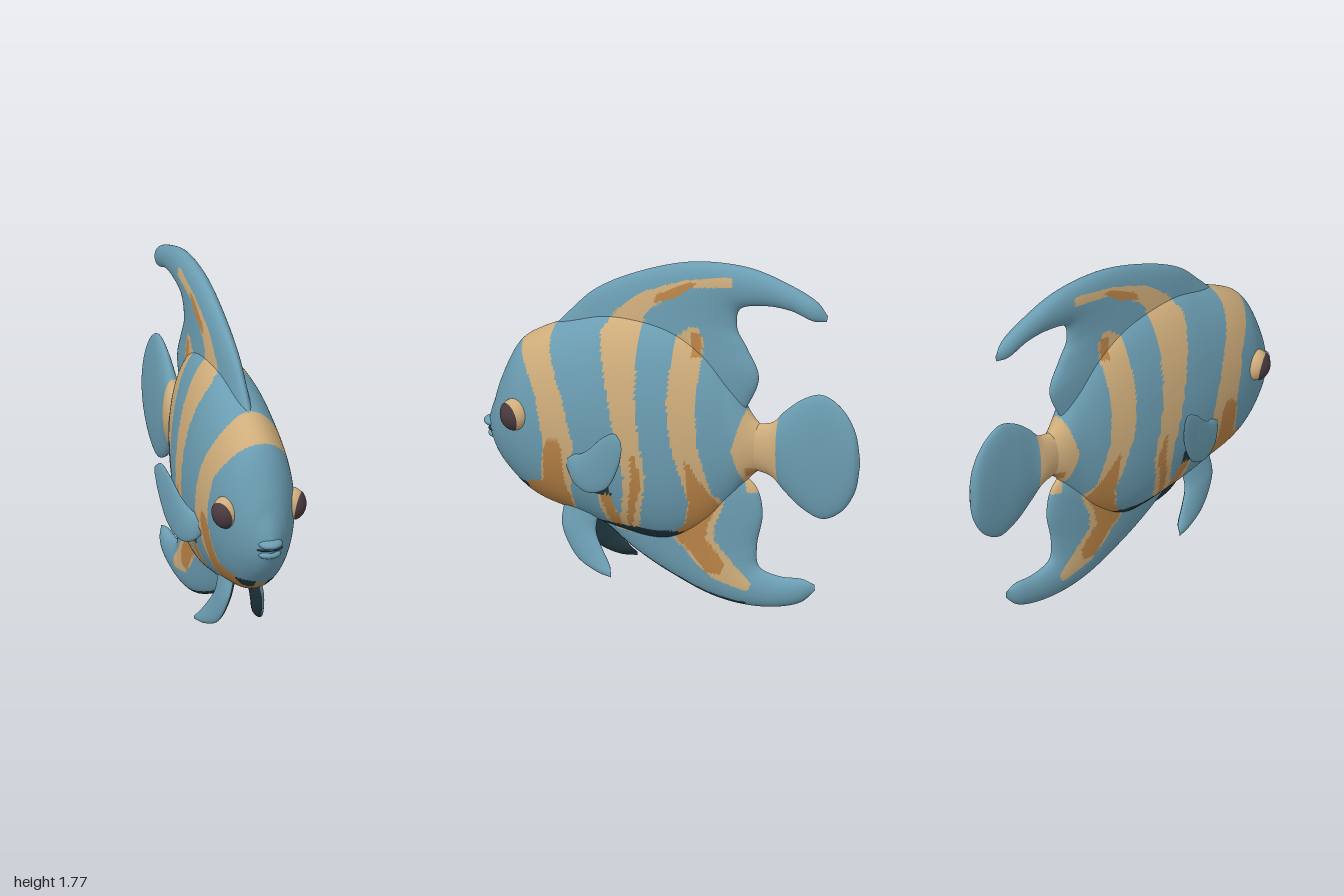
import * as THREE from 'three';

const mat = (name, color) => {
  const m = new THREE.MeshStandardMaterial({ color });
  m.name = name;
  return m;
};

// Flank bands, each from top to bottom as rows of [y, front z, back z]
const cheekBand = [[1.36, .74, .62], [1.24, .79, .6], [1.02, .65, .5], [.78, .6, .435], [.56, .63, .465],
  [.48, .8, .47], [.3, .87, .47]];
const middleBand = [[1.72, -.3, -.34], [1.675, -.095, -.34], [1.64, 0, -.12], [1.575, .15, 0], [1.475, .27, .12],
  [1.37, .335, .13], [1.02, .25, .115], [.65, .18, .065], [.485, .2, .1], [.31, .27, .14]];
const forkBand = [[.55, .33, .26], [.42, .315, .23], [.31, .28, .2]];
const rearBand = [[1.44, -.12, -.16], [1.38, -.05, -.19], [1.07, -.04, -.18], [.86, -.06, -.19], [.59, -.13, -.25],
  [.54, -.135, -.3], [.4, -.1, -.245], [.33, -.02, -.25], [.215, -.135, -.35], [.13, -.23, -.435], [.09, -.4, -.42]];
const tailBand = [[1.06, -.41, -.57], [.83, -.35, -.57], [.6, -.41, -.57]];
const TAN = [cheekBand, middleBand, forkBand, rearBand, tailBand];

const cheekMark = [[.8, .575, .52], [.74, .6, .5], [.56, .615, .5], [.485, .85, .475], [.3, .87, .5]];
const topMark = [[1.665, -.11, -.15], [1.58, .06, -.045], [1.535, .08, .07]];
const middleMark = [[.78, .14, .125], [.645, .14, .085], [.35, .195, .17]];
const forkMark = [[.55, .315, .26], [.35, .28, .215]];
const spotMark = [[1.41, -.13, -.18], [1.29, -.135, -.185]];
const rearMark = [[.765, -.13, -.14], [.53, -.14, -.275], [.42, -.11, -.215], [.34, -.03, -.2], [.22, -.15, -.3],
  [.155, -.2, -.275]];
const tailMark = [[.74, -.41, -.44], [.69, -.41, -.5]];
const ORANGE = [cheekMark, topMark, middleMark, forkMark, spotMark, rearMark, tailMark];

const chinPatch = [[.515, .86, .72], [.46, .86, .72]];
const flankPatch = [[.62, .39, .27], [.54, .33, .25]];
const DARK = [chinPatch, flankPatch];

const inBand = (band, z, y) => {
  for (let i = 1; i < band.length; i++) {
    const [y0, f0, b0] = band[i - 1], [y1, f1, b1] = band[i];
    if (y > y0 || y < y1) continue;
    const t = (y0 - y) / (y0 - y1);
    return z < f0 + (f1 - f0) * t && z > b0 + (b1 - b0) * t;
  }
  return false;
};

// Colour rules: 0 blue, 1 tan, 2 orange, 3 dark
const stripes = (c, n) => {
  const within = (list) => list.some((band) => inBand(band, c.z, c.y));
  if (Math.abs(c.x) > .03 && within(DARK)) return 3;
  if (n.y < -.5 && c.y < .36 && c.z < .5 && c.z > -.4) return 3;
  return within(ORANGE) ? 2 : within(TAN) ? 1 : 0;
};

// Loft of elliptical sections; each row is [edgeA z, edgeA y, edgeB z, edgeB y, half thickness, x]
function loft(rows, steps, around, rule) {
  const a = new THREE.CatmullRomCurve3(rows.map((r) => new THREE.Vector3(r[4], r[1], r[0])));
  const b = new THREE.CatmullRomCurve3(rows.map((r) => new THREE.Vector3(r[5], r[3], r[2])));
  const pos = [], tris = [];
  for (let i = 0; i <= steps; i++) {
    const p = a.getPoint(i / steps), q = b.getPoint(i / steps);
    for (let j = 0; j < around; j++) {
      const t = (j / around) * Math.PI * 2, c = Math.cos(t) / 2;
      pos.push(q.x + Math.max(p.x, .001) * Math.sin(t),
        (p.y + q.y) / 2 + (p.y - q.y) * c, (p.z + q.z) / 2 + (p.z - q.z) * c);
      if (i === steps) continue;
      const k = i * around + j, l = i * around + ((j + 1) % around);
      tris.push([k, l, k + around], [l, l + around, k + around]);
    }
  }
  const at = (i) => new THREE.Vector3().fromArray(pos, i * 3);
  // Turn faces outward using the enclosed volume
  let volume = 0;
  for (const [i, j, k] of tris) volume += at(i).dot(at(j).cross(at(k)));
  if (volume < 0) tris.forEach((t) => t.reverse());

  // Sort triangles into one group per colour
  const bins = [[], [], [], []];
  for (const t of tris) {
    const [u, v, w] = t.map(at);
    const n = v.clone().sub(u).cross(w.clone().sub(u)).normalize();
    bins[rule(u.add(v).add(w).divideScalar(3), n)].push(...t);
  }
  const g = new THREE.BufferGeometry();
  g.setAttribute('position', new THREE.Float32BufferAttribute(pos, 3));
  g.setIndex(bins.flat());
  let start = 0;
  bins.forEach((bin, i) => {
    if (bin.length) g.addGroup(start, bin.length, i);
    start += bin.length;
  });
  g.computeVertexNormals();
  return g;
}

// Fin rows: thickness thins from w0 to w1 and rounds off at the tip; x follows a given rule
const fin = (edges, w0, w1, xAt = () => 0) => edges.map((e, i) => {
  const t = i / (edges.length - 1);
  return [...e, (w0 + (w1 - w0) * t) * Math.sqrt(1 - t ** 8), xAt(t)];
});

// Body sections: top z, y, bottom z, y, half width
const BODY = [
  [.975, .76, .975, .74, .001], [.955, .84, .94, .67, .05], [.93, .91, .915, .62, .08], [.9, 1.01, .87, .56, .115],
  [.8, 1.215, .75, .455, .18], [.7, 1.29, .66, .41, .205], [.52, 1.37, .5, .37, .222], [.3, 1.445, .3, .32, .224],
  [0, 1.44, 0, .29, .194], [-.2, 1.33, -.2, .4, .145], [-.32, 1.17, -.32, .54, .105], [-.43, .99, -.43, .69, .068],
  [-.56, .9, -.56, .78, .001],
].map((r) => [...r, 0]);

// Leading and trailing edges, from root to tip
const DORSAL = fin([
  [.64, 1.3, -.38, 1, ], [.54, 1.41, -.46, 1.2], [.42, 1.53, -.4, 1.34], [.22, 1.645, -.345, 1.44],
  [-.1, 1.755, -.36, 1.545], [-.4, 1.77, -.5, 1.585], [-.6, 1.72, -.64, 1.58], [-.77, 1.645, -.76, 1.543],
  [-.83, 1.58, -.823, 1.55],
], .08, .032);
const VENTRAL = fin([
  [.42, .36, -.36, .7], [.32, .295, -.45, .62], [.2, .21, -.48, .49], [.02, .115, -.45, .32],
  [-.24, .02, -.46, .21], [-.48, .005, -.56, .175], [-.68, .055, -.69, .178], [-.76, .13, -.757, .16],
], .072, .03);

// Tail fan, symmetric about its axis: z, half height, half width
const TAIL = [
  [-.38, .115, .05], [-.53, .14, .06], [-.6, .21, .05], [-.7, .29, .05], [-.8, .325, .045], [-.9, .272, .04],
  [-.97, .165, .03], [-1, .02, .002],
].map(([z, h, w]) => [z, .837 + h, z, .837 - h, w, 0]);

const PECTORAL = [[.46, .74, .48, .66], [.4, .75, .43, .6], [.33, .8, .34, .57], [.25, .88, .23, .615],
  [.175, .92, .155, .75], [.135, .89, .13, .85]];
const PELVIC = [[.55, .42, .36, .42], [.55, .31, .37, .3], [.46, .165, .325, .22], [.34, .11, .275, .15],
  [.257, .102, .257, .12]];

export function createModel() {
  const fish = new THREE.Group();
  fish.name = 'fish';
  const blue = mat('blue skin', 0x6b9db2);
  const tan = mat('tan stripe', 0xcfad7b);
  const orange = mat('orange marking', 0xbb8447);
  const dark = mat('dark underside', 0x20373f);
  const pupil = mat('pupil', 0x4b3b40);
  const paints = [blue, tan, orange, dark];
  const add = (name, geometry, material, parent = fish) => {
    const mesh = new THREE.Mesh(geometry, material);
    mesh.name = name;
    parent.add(mesh);
    return mesh;
  };

  // Striped body and centre fins
  add('body', loft(BODY, 200, 112, stripes), paints);
  add('dorsalFin', loft(DORSAL, 130, 112, stripes), paints);
  add('ventralFin', loft(VENTRAL, 120, 96, stripes), paints);
  add('tailFin', loft(TAIL, 80, 48, stripes), paints);

  // Lips and mouth slit
  const ball = new THREE.SphereGeometry(1, 32, 20);
  const lip = (name, y, z, sx, sy, sz, m) => {
    const mesh = add(name, ball, m);
    mesh.position.set(0, y, z);
    mesh.scale.set(sx, sy, sz);
  };
  lip('upperLip', .767, .945, .06, .027, .055, blue);
  lip('lowerLip', .708, .93, .058, .025, .045, blue);
  lip('mouthSlit', .736, .927, .068, .009, .046, dark);

  for (const side of [1, -1]) {
    const word = side > 0 ? 'left' : 'right';
    // Paired fins, pelvic ones dark on the inner face
    const pectoral = fin(PECTORAL, .024, .014, (t) => side * (.19 + .205 * t - .067 * t * t));
    add(word + 'PectoralFin', loft(pectoral, 40, 32, () => 0), blue);
    const pelvic = fin(PELVIC, .032, .018, (t) => side * (.06 + .105 * t));
    add(word + 'PelvicFin', loft(pelvic, 40, 32, (c, n) => (n.x * side < -.15 ? 3 : 0)), paints);

    // Eye with a pupil cap facing outward and forward
    const eye = new THREE.Group();
    eye.name = word + 'Eye';
    eye.position.set(side * .17, .885, .765);
    eye.scale.set(.92, 1.1, 1);
    fish.add(eye);
    add('eyeball', new THREE.SphereGeometry(.074, 32, 20), tan, eye);
    const cap = add('pupil', new THREE.SphereGeometry(.077, 32, 14, 0, Math.PI * 2, 0, 1.05), pupil, eye);
    cap.quaternion.setFromUnitVectors(new THREE.Vector3(0, 1, 0),
      new THREE.Vector3(side * .78, -.2, .55).normalize());
  }
  return fish;
}
